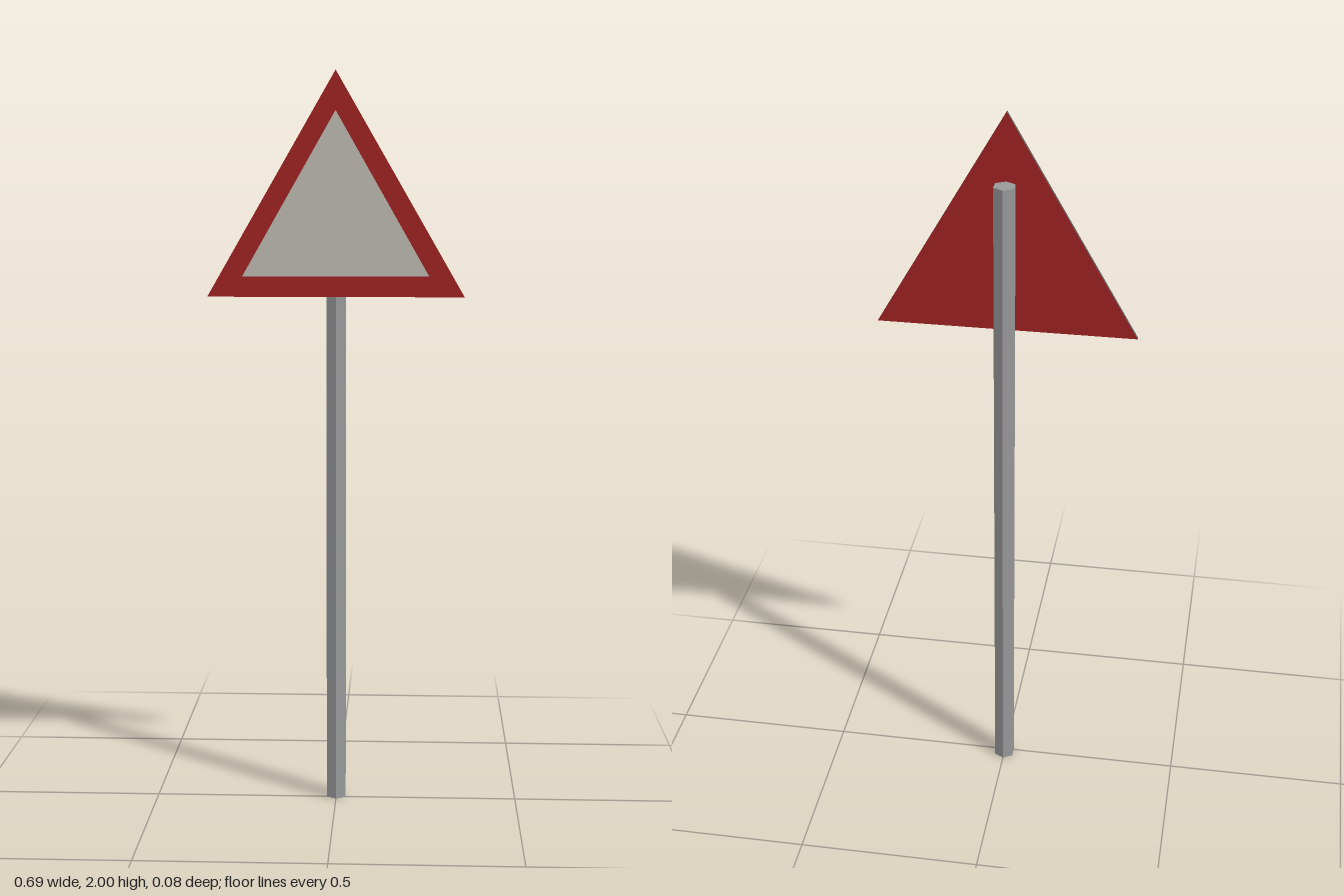
import * as THREE from 'three';

const material = (name, color) => {
  const m = new THREE.MeshStandardMaterial({ color, flatShading: true });
  m.name = name;
  return m;
};

// Upright triangular plate, extruded from zBack to zFront
function trianglePlate(name, halfWidth, yBase, yTip, zBack, zFront, materials) {
  const shape = new THREE.Shape([
    new THREE.Vector2(-halfWidth, yBase),
    new THREE.Vector2(halfWidth, yBase),
    new THREE.Vector2(0, yTip),
  ]);
  const geometry = new THREE.ExtrudeGeometry(shape, { depth: zFront - zBack, bevelEnabled: false });
  const mesh = new THREE.Mesh(geometry, materials);
  mesh.name = name;
  mesh.position.z = zBack;
  return mesh;
}

export function createModel() {
  const model = new THREE.Group();
  model.name = 'warningSign';

  const steel = material('steel grey', 0x98999b);
  const red = material('sign red', 0xa02222);
  const edge = material('dark edge grey', 0x605c5c);
  const white = material('panel off-white', 0xbdbbb2);

  // Hexagonal post with a corner facing the plate
  const post = new THREE.Mesh(new THREE.CylinderGeometry(0.03, 0.03, 1.82, 6), steel);
  post.name = 'post';
  post.position.set(0, 0.91, -0.012);

  // Red plate with dark rim, and the pale panel on its front
  model.add(
    post,
    trianglePlate('signPlate', 0.345, 1.403, 2, 0.023, 0.033, [red, edge]),
    trianglePlate('signPanel', 0.25, 1.458, 1.895, 0.033, 0.039, white),
  );
  return model;
}
